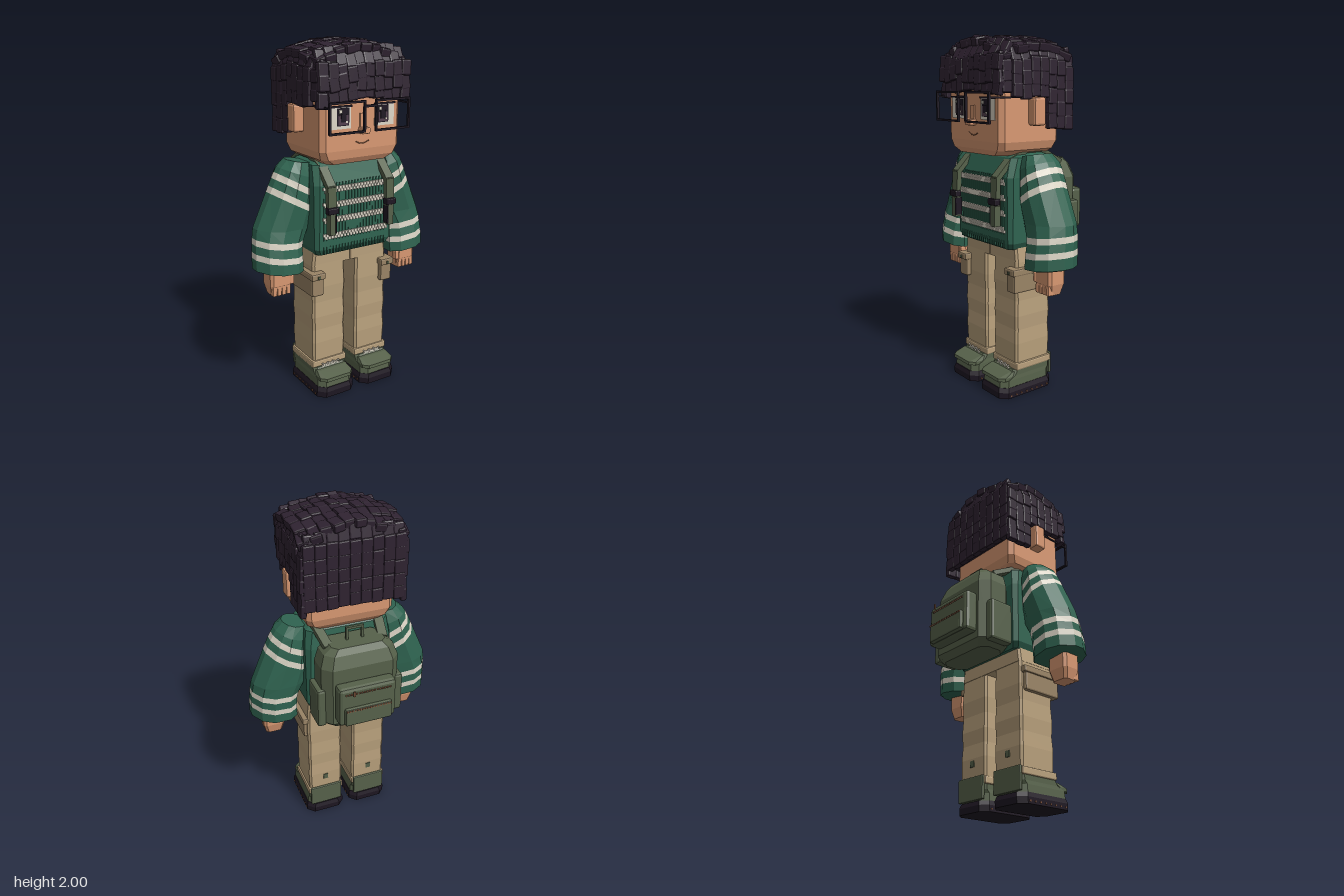
import * as THREE from 'three';
import { mergeGeometries } from 'three/addons/utils/BufferGeometryUtils.js';
import { RoundedBoxGeometry } from 'three/addons/geometries/RoundedBoxGeometry.js';

const paint = (name, color) => Object.assign(new THREE.MeshStandardMaterial({ color }), { name });
const M = {
  hair: paint('dark hair', 0x2e2230), skin: paint('skin', 0xd89872), knit: paint('green knit', 0x2f6350),
  cream: paint('cream', 0xded7c8), khaki: paint('khaki', 0xb8a07c), pocket: paint('dark khaki', 0x9a8466),
  olive: paint('olive', 0x56614a), black: paint('near black', 0x1e1722), iris: paint('iris', 0x54404e),
  brown: paint('brown trim', 0x8a5c42),
};

let seed = 7;
const rand = (a) => { seed = (seed * 16807) % 2147483647; return (seed / 2147483647 * 2 - 1) * a; };
const V = (x, y, z) => new THREE.Vector3(x, y, z);

function flat(geo) {
  const g = geo.index ? geo.toNonIndexed() : geo;
  for (const k of Object.keys(g.attributes)) if (k !== 'position') g.deleteAttribute(k);
  g.computeVertexNormals();
  return g;
}

// Closed solid through rings of points, turned outward by its signed volume
function loft(rings) {
  const tris = [], n = rings[0].length;
  for (let r = 0; r + 1 < rings.length; r++) for (let i = 0; i < n; i++) {
    const j = (i + 1) % n, a = rings[r], b = rings[r + 1];
    tris.push([a[i], b[i], b[j]], [a[i], b[j], a[j]]);
  }
  const first = rings[0], last = rings[rings.length - 1];
  for (let i = 1; i + 1 < n; i++) tris.push([first[0], first[i], first[i + 1]], [last[0], last[i + 1], last[i]]);
  const o = first[0], vol = tris.reduce((s, [a, b, c]) =>
    s + a.clone().sub(o).dot(b.clone().sub(o).cross(c.clone().sub(o))), 0);
  const pts = tris.flatMap(([a, b, c]) => (vol < 0 ? [a, c, b] : [a, b, c]));
  return flat(new THREE.BufferGeometry().setFromPoints(pts));
}

// Stack of chamfered rectangles: [y, x0, x1, z0, z1, chamfer]
const block = (rows) => loft(rows.map(([y, a, b, c, d, k]) => [
  V(a + k, y, c), V(b - k, y, c), V(b, y, c + k), V(b, y, d - k),
  V(b - k, y, d), V(a + k, y, d), V(a, y, d - k), V(a, y, c + k)]));

const box = (x, y, z, w, h, d) => flat(new THREE.BoxGeometry(w, h, d)).translate(x, y, z);
const soft = (x, y, z, w, h, d, r = 0.012, rot = [0, 0, 0]) =>
  flat(new RoundedBoxGeometry(w, h, d, 1, r)).applyMatrix4(
    new THREE.Matrix4().makeRotationFromEuler(new THREE.Euler(...rot)).setPosition(x, y, z));
const bar = (p, q, w, t) => {
  const o = new THREE.Object3D();
  o.position.copy(p).lerp(q, 0.5);
  o.lookAt(q);
  o.updateMatrix();
  return flat(new THREE.BoxGeometry(w, t, p.distanceTo(q) + t * 0.6)).applyMatrix4(o.matrix);
};

export function createModel() {
  const model = new THREE.Group();
  const add = (name, mat, ...geos) => {
    const m = new THREE.Mesh(geos.length > 1 ? mergeGeometries(geos) : geos[0], mat);
    m.name = name;
    model.add(m);
  };

  // Head, ears, nose
  add('head', M.skin, block([[1.355, -0.19, 0.19, -0.06, 0.28, 0.03], [1.385, -0.235, 0.235, -0.085, 0.298, 0.03],
    [1.43, -0.25, 0.25, -0.1, 0.305, 0.025], [1.85, -0.25, 0.25, -0.1, 0.305, 0.025]]));
  add('neck', M.skin, box(0, 1.35, 0.09, 0.2, 0.08, 0.18));
  add('ears', M.skin, ...[-1, 1].map((s) => soft(s * 0.28, 1.59, 0.088, 0.065, 0.15, 0.075)));
  add('nose', M.skin, soft(0, 1.53, 0.322, 0.052, 0.034, 0.046, 0.006), box(0, 1.58, 0.307, 0.036, 0.08, 0.01));
  add('mouth', M.brown, new THREE.TorusGeometry(0.07, 0.0028, 4, 12, 1.3).rotateZ(-Math.PI / 2 - 0.65).translate(0, 1.53, 0.306));

  // Eyes and glasses
  for (const s of [-1, 1]) {
    const x = s * 0.125;
    add('eyeWhite', M.cream, box(s * 0.138, 1.603, 0.307, 0.125, 0.115, 0.006));
    add('eyeRim', M.black, box(s * 0.138, 1.662, 0.31, 0.135, 0.01, 0.008), box(x, 1.608, 0.311, 0.074, 0.092, 0.004));
    add('iris', M.iris, box(x, 1.592, 0.314, 0.06, 0.05, 0.004));
    add('pupil', M.black, box(x, 1.603, 0.317, 0.032, 0.042, 0.004));
    add('eyeGlint', M.cream, box(x - 0.02, 1.637, 0.319, 0.018, 0.018, 0.004), box(x + 0.018, 1.582, 0.319, 0.01, 0.01, 0.004));
    add('eyebrow', M.hair, box(s * 0.14, 1.7, 0.312, 0.13, 0.022, 0.02));
    const cx = s * 0.141, cy = 1.613;
    add('glassesFrame', M.black,
      ...[-1, 1].flatMap((k) => [box(cx, cy + k * 0.077, 0.378, 0.218, 0.011, 0.014), box(cx + k * 0.105, cy, 0.378, 0.011, 0.16, 0.014)]),
      bar(V(s * 0.247, 1.665, 0.378), V(s * 0.258, 1.665, 0.1), 0.01, 0.01));
  }
  add('glassesBridge', M.black, box(0, 1.665, 0.378, 0.08, 0.012, 0.014));

  // Hair: a core covered with overlapping tufts, its upper corners rounded off
  add('hairCore', M.hair, block([[1.715, -0.28, 0.28, -0.14, 0.315, 0.03], [1.85, -0.275, 0.275, -0.14, 0.31, 0.04],
    [1.91, -0.255, 0.255, -0.13, 0.28, 0.06], [1.95, -0.21, 0.21, -0.11, 0.24, 0.07]]),
  block([[1.54, -0.27, 0.27, -0.14, 0.0, 0.02], [1.73, -0.27, 0.27, -0.14, 0.0, 0.02]]));
  const crown = [], fringe = [], sides = [], back = [];
  const corner = (x, z) => 0.06 * (x / 0.27) ** 2 * ((z - 0.075) / 0.2) ** 2;
  for (let i = 0; i < 10; i++) for (let j = 0; j < 6; j++) {
    const z = -0.112 + j * 0.074 + (i % 2) * 0.012, x = (-0.26 + i * 0.0578) * (j === 5 ? 0.94 : 1) + rand(0.004);
    crown.push(soft(x, 1.966 - 0.5 * x * x - 0.25 * (z - 0.08) ** 2 - corner(x, z) + rand(0.008), z, 0.066, 0.05, 0.09, 0.01,
      [rand(0.08) + (z - 0.08) * (0.6 + 12 * x * x), rand(0.2), -x * (0.8 + 16 * (z - 0.08) ** 2)]));
  }
  const fringeZ = [0.318, 0.324, 0.322, 0.3, 0.272];
  for (let i = 0; i < 10; i++) for (let j = 0; j < 5; j++) {
    const x = (-0.252 + i * 0.056) * (1 - Math.max(0, j - 2) * 0.03);
    const dip = j === 0 ? 0.35 * x * x : 0;
    fringe.push(soft(x, 1.728 + j * 0.053 - dip - corner(x, 0.275) * Math.max(0, j - 2) * 0.35 + rand(0.014), fringeZ[j] + rand(0.006), 0.064, 0.084, 0.038, 0.009,
      [j > 2 ? -0.5 : -0.08, 0, rand(0.16)]));
  }
  for (const s of [-1, 1]) for (let i = 0; i < 8; i++) {
    const z = -0.125 + i * 0.059, behind = z < 0.03, rows = behind ? 6 : 4;
    const bottom = behind ? 1.5 : 1.665 + (i === 7 ? 0.03 : 0), top = 1.935 - 0.045 * ((z - 0.08) / 0.21) ** 2, h = (top - bottom) / rows;
    for (let j = 0; j < rows; j++) {
      const up = j === rows - 1;
      sides.push(soft(s * (0.283 - (up ? 0.018 : 0) - (i === 7 ? 0.014 : 0) + rand(0.004)), bottom + (j + 0.5) * h + rand(0.01), z,
        0.036, h + 0.016, 0.064, 0.009, [rand(0.08), 0, s * (up ? 0.3 : 0.04)]));
    }
  }
  for (let i = 0; i < 9; i++) for (let j = 0; j < 6; j++) {
    const x = -0.25 + i * 0.0625, up = j === 5;
    back.push(soft(up ? x * 0.96 : x, 1.555 + j * 0.072 - (up ? corner(x, -0.1) * 0.7 : 0) + rand(0.006), -0.144 + (up ? 0.012 : 0),
      0.066, 0.083, 0.036, 0.009, [up ? 0.2 : 0, 0, rand(0.05)]));
  }
  add('hairCrown', M.hair, ...crown);
  add('hairFringe', M.hair, ...fringe);
  add('hairSides', M.hair, ...sides);
  add('hairBack', M.hair, ...back);

  // Sweater body with knitted bands
  add('sweaterBody', M.knit, block([[0.845, -0.235, 0.235, -0.06, 0.235, 0.02], [0.88, -0.253, 0.253, -0.075, 0.25, 0.02],
    [1.24, -0.253, 0.253, -0.075, 0.25, 0.025], [1.345, -0.24, 0.24, -0.06, 0.215, 0.03], [1.365, -0.2, 0.2, -0.04, 0.19, 0.03]]));
  const ribs = [], stitches = [];
  for (let i = 0; i < 21; i++) {
    const x = -0.205 + i * 0.02;
    ribs.push(box(x, 1.09, 0.251, 0.006, 0.32, 0.006), box(x, 0.875, 0.25, 0.006, 0.04, 0.008));
    for (const y of [1.215, 1.13, 1.045, 0.955])
      stitches.push(box(x, y + 0.008, 0.255, 0.016, 0.016, 0.008), box(x + 0.01, y - 0.008, 0.255, 0.016, 0.016, 0.008));
  }
  add('knitRibs', M.knit, ...ribs);
  add('knitBands', M.cream, ...stitches);

  // Sleeves: [outer x, outer y, inner x, inner y, z centre, z half]
  const sleeve = [[0.34, 1.37, 0.22, 1.35, 0.08, 0.085], [0.385, 1.33, 0.225, 1.27, 0.08, 0.115], [0.402, 1.303, 0.23, 1.205, 0.08, 0.122],
    [0.418, 1.272, 0.23, 1.168, 0.08, 0.124], [0.437, 1.232, 0.23, 1.115, 0.08, 0.126], [0.451, 1.2, 0.232, 1.078, 0.08, 0.127],
    [0.535, 1.01, 0.25, 1.0, 0.078, 0.126], [0.545, 0.957, 0.285, 0.925, 0.085, 0.13], [0.548, 0.924, 0.293, 0.892, 0.087, 0.132],
    [0.552, 0.88, 0.295, 0.844, 0.093, 0.136], [0.554, 0.847, 0.295, 0.811, 0.096, 0.137], [0.555, 0.785, 0.295, 0.755, 0.1, 0.137],
    [0.53, 0.775, 0.32, 0.75, 0.1, 0.115]];
  const section = [[1, 0.22], [0.66, 0.76], [0.15, 1], [-0.6, 0.92], [-1, 0.6], [-1, -0.6], [-0.6, -0.92], [0.15, -1], [0.66, -0.76], [1, -0.22]];
  for (const s of [-1, 1]) {
    const rings = sleeve.map(([ox, oy, ix, iy, zc, zh]) => section.map(([u, v]) =>
      V(s * ((ox + ix) / 2 + u * (ox - ix) / 2), (oy + iy) / 2 + u * (oy - iy) / 2, zc + v * zh)));
    add('sleeve', M.knit, ...[[0, 3], [3, 5], [5, 8], [8, 10], [10, 13]].map(([a, b]) => loft(rings.slice(a, b))));
    add('sleeveStripes', M.cream, ...[2, 4, 7, 9].map((i) => loft(rings.slice(i, i + 2))));

    // Fist with finger ridges and a thumb
    const hx = s * 0.425, hand = [block([[0.63, hx - 0.05, hx + 0.05, 0.07, 0.155, 0.015], [0.69, hx - 0.064, hx + 0.064, 0.055, 0.17, 0.015],
      [0.78, hx - 0.064, hx + 0.064, 0.055, 0.17, 0.015]])];
    for (let i = 0; i < 4; i++) hand.push(soft(hx - 0.042 + i * 0.028, 0.662, 0.15, 0.026, 0.062, 0.04, 0.007));
    hand.push(soft(s * 0.362, 0.715, 0.15, 0.028, 0.06, 0.04, 0.008));
    add('hand', M.skin, ...hand);

    // Trouser leg, cuff and thigh pocket
    const leg = [0.17, 0.3, 0.38, 0.46, 0.55, 0.64, 0.78].map((y, i) => {
      const w = (i % 2) * 0.004;
      return [y, s * 0.142 - 0.104 - w, s * 0.142 + 0.104 + w, -0.037 - w, 0.2 + w, 0.012];
    });
    add('trouserLeg', M.khaki, block(leg));
    add('trouserCuff', M.khaki, soft(s * 0.144, 0.168, 0.083, 0.228, 0.042, 0.25, 0.008));
    add('thighPocket', M.pocket, soft(s * 0.232, 0.66, 0.107, 0.075, 0.115, 0.25, 0.01), soft(s * 0.233, 0.722, 0.107, 0.088, 0.04, 0.275, 0.008));
    add('pocketButton', M.olive, box(s * 0.233, 0.718, 0.246, 0.016, 0.016, 0.006));
    add('legPatch', M.olive, box(s * 0.144, 0.27, -0.041, 0.03, 0.035, 0.008));

    // Boot
    const l = s * 0.145 - 0.122, r = s * 0.145 + 0.122;
    add('bootSole', M.black, block([[0, l, r, -0.058, 0.31, 0.04], [0.035, l, r, -0.06, 0.312, 0.04], [0.06, l + 0.008, r - 0.008, -0.052, 0.305, 0.04]]));
    add('bootUpper', M.olive, block([[0.06, l + 0.01, r - 0.01, -0.045, 0.3, 0.035], [0.1, l + 0.012, r - 0.012, -0.045, 0.295, 0.035],
      [0.12, l + 0.015, r - 0.015, -0.045, 0.235, 0.02], [0.15, l + 0.015, r - 0.015, -0.045, 0.215, 0.02]]),
    block([[0.1, l + 0.015, r - 0.015, 0.2, 0.315, 0.03], [0.118, l + 0.015, r - 0.015, 0.2, 0.312, 0.03], [0.14, l + 0.025, r - 0.025, 0.2, 0.24, 0.01]]),
    soft(s * 0.145, 0.13, -0.046, 0.205, 0.13, 0.018, 0.006));
    add('laces', M.cream, ...[-1, 0, 1].flatMap((k) => [-1, 1].map((t) =>
      bar(V(s * 0.145 + k * 0.035 - 0.02, 0.158 + t * 0.009, 0.218), V(s * 0.145 + k * 0.035 + 0.02, 0.158 - t * 0.009, 0.222), 0.007, 0.007))));
    const studs = [];
    for (let i = 0; i < 8; i++) for (const x of [l, r]) studs.push(box(x, 0.015, -0.005 + i * 0.037, 0.008, 0.008, 0.008));
    add('soleStuds', M.brown, ...studs);

    // Shoulder strap, buckle and loose end
    const path = [V(s * 0.188, 1.1, 0.3), V(s * 0.188, 1.24, 0.295), V(s * 0.188, 1.335, 0.2), V(s * 0.188, 1.38, 0.1), V(s * 0.188, 1.38, 0), V(s * 0.16, 1.3, -0.16)];
    add('shoulderStrap', M.olive, ...path.slice(1).map((p, i) => bar(path[i], p, 0.052, 0.028)), box(s * 0.19, 1.05, 0.3, 0.036, 0.14, 0.04));
    add('strapBuckle', M.black, soft(s * 0.188, 1.115, 0.308, 0.066, 0.036, 0.04, 0.006), box(s * 0.17, 1.04, 0.3, 0.008, 0.1, 0.042));
    add('sidePocket', M.olive, soft(s * 0.228, 0.96, -0.175, 0.055, 0.24, 0.15, 0.015));
  }
  add('trouserHips', M.khaki, block([[0.77, -0.248, 0.248, -0.04, 0.2, 0.012], [0.87, -0.235, 0.235, -0.04, 0.2, 0.012]]));
  add('trouserFly', M.pocket, box(0, 0.81, 0.202, 0.008, 0.07, 0.005));

  // Backpack
  add('backpack', M.olive, block([[0.82, -0.185, 0.185, -0.25, -0.09, 0.04], [0.86, -0.225, 0.225, -0.28, -0.07, 0.05],
    [1.21, -0.225, 0.225, -0.28, -0.07, 0.05], [1.28, -0.2, 0.2, -0.255, -0.07, 0.045], [1.315, -0.155, 0.155, -0.235, -0.075, 0.03]]));
  add('backPocket', M.olive, soft(0, 1.012, -0.315, 0.335, 0.24, 0.08, 0.02), soft(0, 0.955, -0.355, 0.275, 0.11, 0.04, 0.01));
  const teeth = [];
  for (let i = 0; i < 18; i++) teeth.push(box(-0.1275 + i * 0.015, 1.095, -0.357, 0.009, 0.008, 0.008), box(-0.1275 + i * 0.015, 1.0, -0.376, 0.009, 0.008, 0.008));
  add('zips', M.brown, ...teeth, box(0.09, 1.11, -0.378, 0.01, 0.03, 0.008));
  add('carryHandle', M.olive, ...[-1, 1].map((s) => box(s * 0.045, 1.345, -0.15, 0.014, 0.08, 0.016)), box(0, 1.383, -0.15, 0.104, 0.014, 0.016));
  return model;
}
